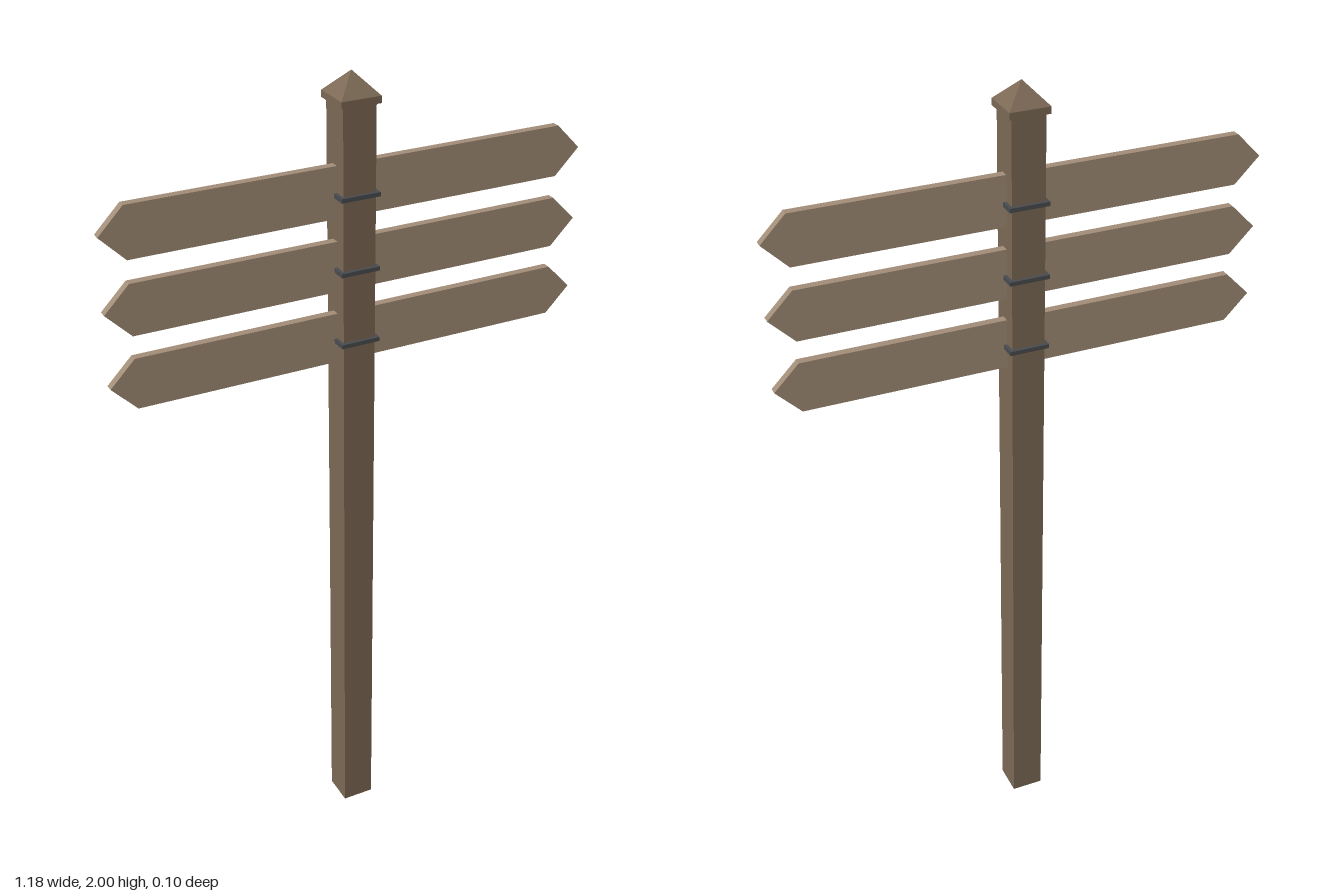
import * as THREE from 'three';

const material = (name, color) => {
  const m = new THREE.MeshStandardMaterial({ color });
  m.name = name;
  return m;
};

export function createModel() {
  const group = new THREE.Group();
  group.name = 'signpost';
  const postWood = material('postWood', 0x7c6955);
  const boardWood = material('boardWood', 0xa28d77);
  const iron = material('darkIron', 0x484b4f);

  const add = (name, geometry, mat, y) => {
    const mesh = new THREE.Mesh(geometry, mat);
    mesh.name = name;
    mesh.position.y = y;
    group.add(mesh);
  };

  // Square post with a slab and a four-sided cap
  add('post', new THREE.BoxGeometry(0.08, 1.94, 0.08), postWood, 0.97);
  add('capSlab', new THREE.BoxGeometry(0.096, 0.016, 0.096), postWood, 1.942);
  const cap = new THREE.ConeGeometry(0.048 * Math.SQRT2, 0.05, 4, 1).rotateY(Math.PI / 4).toNonIndexed();
  cap.computeVertexNormals();
  add('capPyramid', cap, postWood, 1.975);

  // Boards pointed at both ends, passing through the post
  const outline = new THREE.Shape([
    [-0.59, 0], [-0.53, -0.061], [0.53, -0.061], [0.59, 0], [0.53, 0.061], [-0.53, 0.061],
  ].map(([x, y]) => new THREE.Vector2(x, y)));
  const board = new THREE.ExtrudeGeometry(outline, { depth: 0.02, bevelEnabled: false }).translate(0, 0, -0.01);

  // Thin square iron band around the post at each board
  const ring = new THREE.Shape([[-1, -1], [1, -1], [1, 1], [-1, 1]].map(([x, y]) => new THREE.Vector2(x * 0.048, y * 0.048)));
  ring.holes.push(new THREE.Path([[-1, -1], [-1, 1], [1, 1], [1, -1]].map(([x, y]) => new THREE.Vector2(x * 0.04, y * 0.04))));
  const band = new THREE.ExtrudeGeometry(ring, { depth: 0.01, bevelEnabled: false })
    .translate(0, 0, -0.005).rotateX(Math.PI / 2);

  [['top', 1.736], ['middle', 1.56], ['bottom', 1.384]].forEach(([level, y]) => {
    add(level + 'Board', board, boardWood, y);
    add(level + 'Band', band, iron, y - 0.006);
  });
  return group;
}
